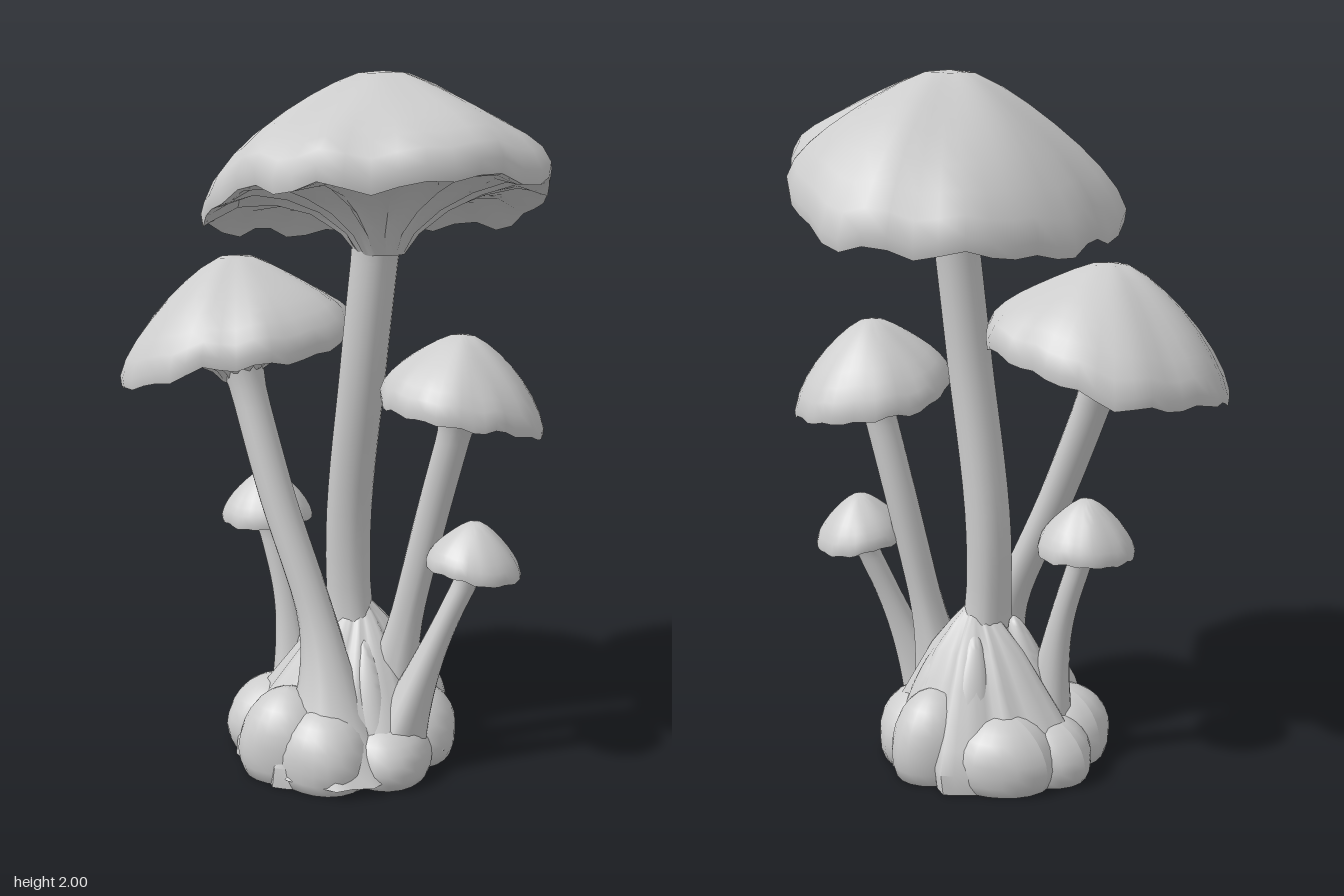
import * as THREE from 'three';
import { toCreasedNormals } from 'three/addons/utils/BufferGeometryUtils.js';

const TAU = Math.PI * 2;
const clay = new THREE.MeshStandardMaterial({ color: 0xcccccc });
clay.name = 'clay grey';

// uneven wave around a circle, between about -1 and 1
const wave = (a, s) => 0.5 * Math.sin(3 * a + s) + 0.3 * Math.sin(5 * a + 2.1 * s) + 0.25 * Math.sin(9 * a + 3.7 * s);

// closed rings joined from the top down
function loft(rows, cols, point, crease) {
  const pos = [], idx = [];
  for (let i = 0; i < rows; i++) {
    for (let j = 0; j < cols; j++) {
      pos.push(...point(i, (j / cols) * TAU));
      if (i === rows - 1) continue;
      const a = i * cols + j, c = i * cols + (j + 1) % cols;
      idx.push(a, c, a + cols, c, c + cols, a + cols);
    }
  }
  const geo = new THREE.BufferGeometry();
  geo.setAttribute('position', new THREE.Float32BufferAttribute(pos, 3));
  geo.setIndex(idx);
  return toCreasedNormals(geo, crease);
}

function add(group, geo, name) {
  const mesh = new THREE.Mesh(geo, clay);
  mesh.name = name;
  group.add(mesh);
}

// cap profiles as [radius fraction, height fraction]
const dome = [[0.001, 1], [0.15, 0.98], [0.3, 0.89], [0.45, 0.77], [0.6, 0.63], [0.74, 0.48], [0.86, 0.32], [0.95, 0.16], [1, 0], [0.99, -0.11]];
const gills = [[0.95, -0.09], [0.8, 0.02], [0.6, 0], [0.4, -0.1], [0.23, -0.28], [0.14, -0.5]];

function cap({ at, radius, height, tilt }, seed) {
  const profile = [...dome, ...gills];
  const ruffle = 0.015 + 0.09 * radius;
  return loft(profile.length, 44, (i, a) => {
    const [r, y] = profile[i];
    const under = i >= dome.length;
    const rr = radius * r * (1 + ruffle * wave(a, seed) * r);
    const x = rr * Math.cos(a), z = rr * Math.sin(a);
    // larger caps have a deeper funnel below
    let up = under && y < -0.095 ? y * radius * 2 : y;
    // ruffled rim, soft dents on the dome, ridges below
    up += ruffle * (1.6 * wave(a, seed + 2) + 0.7 * Math.sin(13 * a + seed)) * r ** 5;
    if (!under) up += ruffle * 3 * (Math.sin(4 * a + seed) + 0.6 * Math.sin(7 * a + 2 * seed)) * r * r * (1 - r);
    else if (r > 0.2 && r < 0.9) up += radius * 0.09 * Math.cos(16 * a + wave(a, seed));
    // the tilt fades towards the crown
    return [at[0] + x, at[1] + height * up + r * (tilt[0] * x + tilt[1] * z), at[2] + z];
  }, 1.0);
}

// fluted tube along a path, top to bottom; width(t, y) gives its radius
function stalk(points, width, seed) {
  const path = new THREE.CatmullRomCurve3(points.map((p) => new THREE.Vector3(...p)), false, 'catmullrom', 0.5);
  const rows = 24;
  return loft(rows, 20, (i, a) => {
    const t = i / (rows - 1);
    const c = path.getPoint(t);
    const r = width(t, c.y) * (1 + (0.025 + 0.2 * t ** 4) * wave(a, seed + t));
    return [c.x + r * Math.cos(a), c.y, c.z + r * Math.sin(a)];
  }, 1.2);
}

// stems widen into the cap and flare towards the ground
const stemWidth = (r) => (t, y) =>
  r * (1 + 0.4 * Math.max(0, 1 - t / 0.12) ** 2 + 2.3 * Math.max(0, 1 - y / 0.52) ** 2);

// at: centre of the cap rim; path: stem points below it
const mushrooms = [
  { name: 'tallMushroom', at: [0.14, 1.67, -0.04], radius: 0.475, height: 0.33, tilt: [0.24, 0.1],
    stem: 0.066, path: [[0.09, 1.2, -0.02], [0.005, 0.65, -0.03], [0.03, 0.05, -0.05]] },
  { name: 'leaningMushroom', at: [-0.28, 1.205, 0.165], radius: 0.342, height: 0.275, tilt: [0.2, -0.11],
    stem: 0.054, path: [[-0.12, 0.8, 0.14], [0.05, 0.4, 0.1], [0.15, 0.03, 0.12]] },
  { name: 'middleMushroom', at: [0.32, 1.09, -0.185], radius: 0.228, height: 0.21, tilt: [-0.05, 0.2],
    stem: 0.048, path: [[0.22, 0.7, -0.15], [0.12, 0.1, -0.06]] },
  { name: 'smallRightMushroom', at: [-0.28, 0.68, 0.07], radius: 0.138, height: 0.14, tilt: [0.06, 0.02],
    stem: 0.036, path: [[-0.2, 0.4, 0.05], [-0.14, 0.03, 0.05]] },
  { name: 'smallLeftMushroom', at: [0.365, 0.64, -0.205], radius: 0.134, height: 0.13, tilt: [-0.05, 0.12],
    stem: 0.037, path: [[0.29, 0.38, -0.12], [0.2, 0.03, -0.02]] },
];

// folded mound where the stems join, as [radius, height]
const moundProfile = [[0.03, 0.47], [0.08, 0.42], [0.14, 0.35], [0.19, 0.27], [0.24, 0.19], [0.28, 0.12], [0.31, 0.06], [0.31, 0], [0.001, 0]];

function mound() {
  return loft(moundProfile.length, 60, (i, a) => {
    const [r, y] = moundProfile[i];
    const rr = r * (1 + 0.12 * wave(a * 2, 1));
    return [0.02 * (y / 0.45) + rr * Math.cos(a), y, -0.01 - 0.1 * y + rr * Math.sin(a)];
  }, 1.0);
}

// broad lobe at the foot, flat underneath, sinking into the mound
function lobe(x, z, r, h, seed) {
  const geo = new THREE.SphereGeometry(1, 22, 14);
  const p = geo.attributes.position;
  for (let i = 0; i < p.count; i++) {
    const a = Math.atan2(p.getZ(i), p.getX(i));
    const k = r * (1 + 0.07 * Math.sin(3 * a + seed) * (1 - Math.abs(p.getY(i))));
    p.setXYZ(i, x + k * p.getX(i), Math.max(0, h * (0.3 + 0.7 * p.getY(i))), z + k * p.getZ(i));
  }
  geo.computeVertexNormals();
  return geo;
}

export function createModel() {
  const model = new THREE.Group();
  model.name = 'mushroomCluster';

  mushrooms.forEach((m, n) => {
    const group = new THREE.Group();
    group.name = m.name;
    add(group, cap(m, 1.3 + n * 1.7), 'cap');
    add(group, stalk([m.at, ...m.path], stemWidth(m.stem), n), 'stem');
    model.add(group);
  });

  const base = new THREE.Group();
  base.name = 'base';
  model.add(base);
  add(base, mound(), 'mound');

  for (let n = 0; n < 8; n++) {
    // lobes around the foot, taller at front and back
    const a = (n / 8) * TAU + 0.12 * Math.sin(n * 2.3);
    const r = 0.145 + 0.02 * Math.sin(3 * n);
    const d = 0.355 - r;
    add(base, lobe(d * Math.cos(a), -0.01 + d * Math.sin(a), r, 0.21 - 0.04 * Math.cos(2 * a), n), 'lobe');

    // root folds climbing between them
    const b = a + 0.35;
    const top = 0.38 + 0.06 * Math.sin(n * 2.6);
    const ring = (e, y) => [0.02 + e * Math.cos(b), y, -0.04 + e * Math.sin(b)];
    add(base, stalk([ring(0.1, top), ring(0.15, top * 0.65), ring(0.21, 0.05)], (t) => 0.002 + 0.08 * t ** 0.55, n), 'rootFold');
  }

  return model;
}
